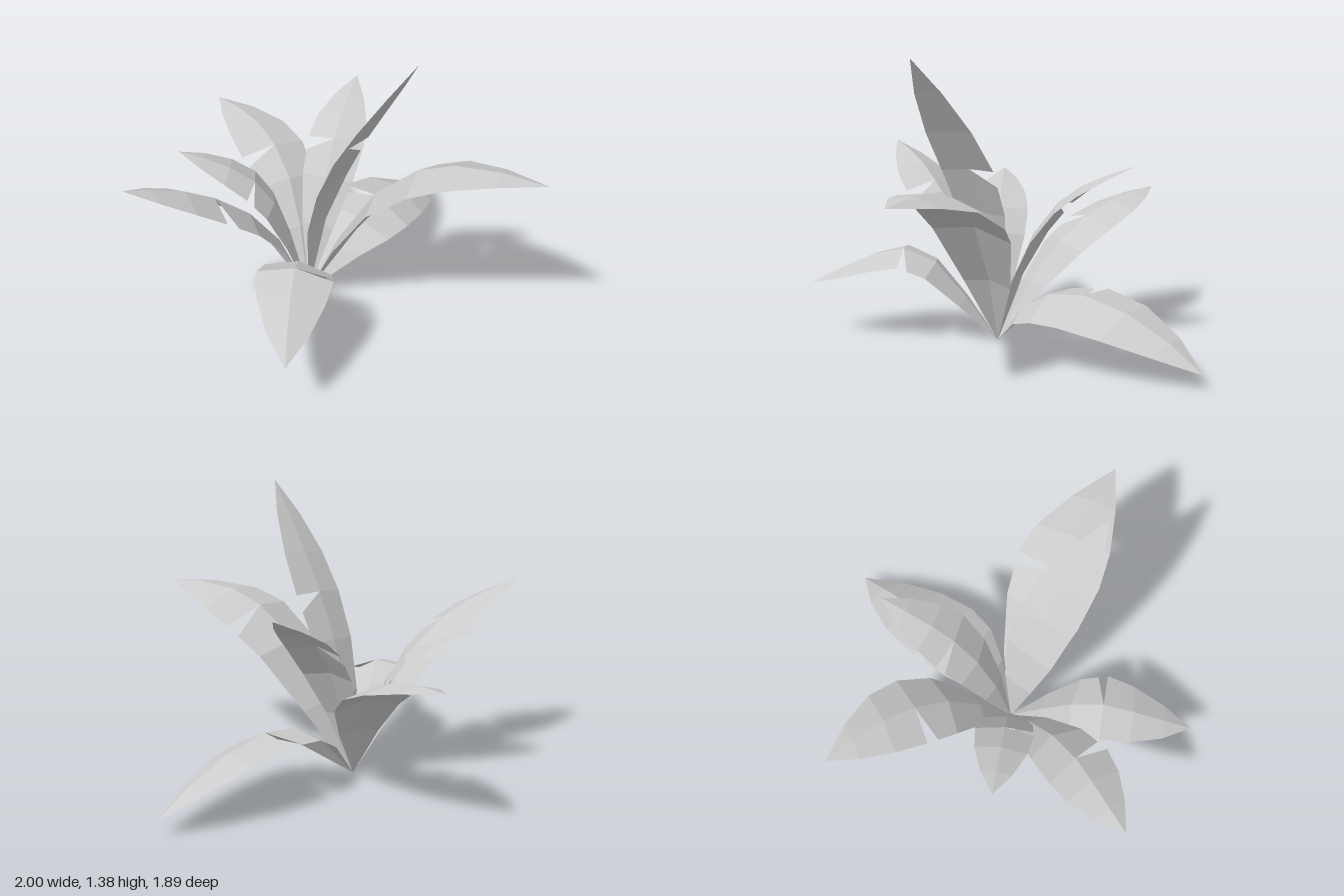
import * as THREE from 'three';

const UP = new THREE.Vector3(0, 1, 0);
const BASE = [-0.075, 0, 0];

// Rows along a leaf: position on the spine curve and relative half width
const ROWS = [0, 0.2, 0.4, 0.6, 0.74, 0.88, 1];
const WIDTHS = [0, 0.56, 0.9, 1, 0.88, 0.52, 0];
const NOTCH_ROW = 3;

// Each leaf: half width, roll (raises the notched edge), droop of both edges,
// and the spine points after the base
const LEAVES = [
  { name: 'tallLeaf', width: 0.143, roll: 0.1, droop: 0.1, spine: [[-0.06, 0.4, 0.04], [-0.03, 0.65, 0.115], [0, 0.87, 0.215], [0.035, 1.13, 0.385], [0.08, 1.38, 0.565]] },
  { name: 'frontLeftLeaf', width: 0.22, roll: -0.12, droop: 0.25, spine: [[0.02, 0.34, 0.12], [0.12, 0.63, 0.27], [0.225, 0.785, 0.43], [0.35, 0.86, 0.64], [0.51, 0.85, 0.945]] },
  { name: 'frontRightLeaf', width: 0.17, roll: -0.1, droop: 0.25, spine: [[-0.18, 0.21, 0.11], [-0.28, 0.38, 0.22], [-0.38, 0.45, 0.34], [-0.53, 0.385, 0.51], [-0.67, 0.27, 0.69]] },
  { name: 'rightLeaf', width: 0.155, roll: 0, droop: 0.35, spine: [[-0.24, 0.36, 0], [-0.41, 0.58, 0.02], [-0.585, 0.725, 0.025], [-0.78, 0.825, 0.01], [-1, 0.89, 0]] },
  { name: 'backRightLeaf', width: 0.14, roll: 0, droop: 0.2, spine: [[-0.14, 0.3, -0.05], [-0.2, 0.5, -0.1], [-0.27, 0.615, -0.155], [-0.4, 0.71, -0.265], [-0.54, 0.76, -0.385]] },
  { name: 'backLeaf', width: 0.175, roll: 0, droop: 0.25, spine: [[-0.02, 0.28, -0.15], [0.02, 0.47, -0.3], [0.04, 0.585, -0.465], [0.04, 0.66, -0.7], [0, 0.675, -0.945]] },
  { name: 'backLeftLeaf', width: 0.145, roll: 0, droop: 0.25, spine: [[0, 0.33, -0.04], [0.09, 0.55, -0.09], [0.19, 0.705, -0.155], [0.32, 0.815, -0.25], [0.485, 0.89, -0.365]] },
  { name: 'leftLeaf', width: 0.205, roll: 0.22, droop: 0.28, spine: [[0.1, 0.2, -0.01], [0.25, 0.295, -0.05], [0.43, 0.32, -0.11], [0.72, 0.24, -0.21], [0.995, 0.07, -0.29]] },
];

// A folded, faceted blade with one V-shaped tear on its +side
function leafGeometry({ width, roll, droop, spine }) {
  const points = [BASE, ...spine].map((p) => new THREE.Vector3(...p));
  const curve = new THREE.CatmullRomCurve3(points);
  const heading = points[5].clone().sub(points[0]).setY(0).normalize();
  const side = new THREE.Vector3().crossVectors(UP, heading);

  const rows = ROWS.map((u, i) => {
    const mid = curve.getPoint(u);
    const normal = new THREE.Vector3().crossVectors(curve.getTangent(u), side).normalize();
    const half = width * WIDTHS[i];
    const edge = (sign) => mid.clone()
      .addScaledVector(side, sign * half)
      .addScaledVector(normal, half * (sign * roll - droop));
    return { mid, plus: edge(1), minus: edge(-1) };
  });

  const positions = [];
  const triangle = (...corners) => corners.forEach((c) => positions.push(c.x, c.y, c.z));
  for (let i = 0; i < rows.length - 1; i++) {
    const a = rows[i];
    const b = rows[i + 1];
    // the torn panel stops short of the next lobe
    const plusEnd = i === NOTCH_ROW - 1 ? a.plus.clone().lerp(b.plus, 0.65) : b.plus;
    if (i > 0) {
      triangle(a.mid, b.mid, a.plus);
      triangle(a.mid, a.minus, b.mid);
    }
    if (i < rows.length - 2) {
      triangle(a.plus, b.mid, plusEnd);
      triangle(a.minus, b.minus, b.mid);
    }
  }
  const geometry = new THREE.BufferGeometry();
  geometry.setAttribute('position', new THREE.Float32BufferAttribute(positions, 3));
  geometry.computeVertexNormals();
  return geometry;
}

export function createModel() {
  const plant = new THREE.Group();
  plant.name = 'plant';
  const material = new THREE.MeshStandardMaterial({
    color: 0xcccccc, flatShading: true, side: THREE.DoubleSide,
  });
  for (const leaf of LEAVES) {
    const mesh = new THREE.Mesh(leafGeometry(leaf), material);
    mesh.name = leaf.name;
    plant.add(mesh);
  }
  return plant;
}
